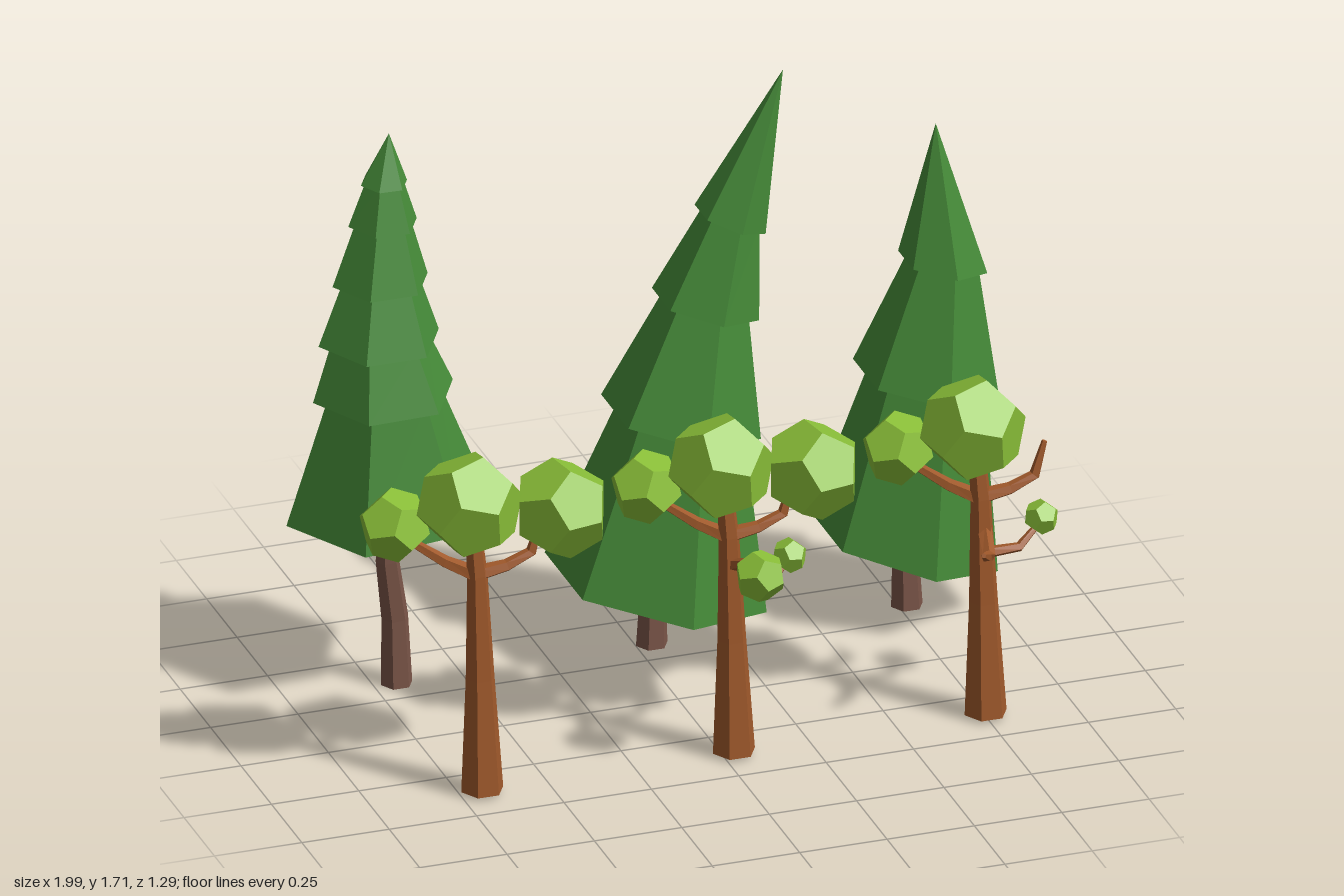
import * as THREE from 'three';

const mat = (name, color) => {
  const m = new THREE.MeshStandardMaterial({ color });
  m.name = name;
  return m;
};
const UP = new THREE.Vector3(0, 1, 0);

// Faceted skin over rings {p: centre, d: facing direction, r: radius}
function loft(rings, sides, phase = 0) {
  const rows = rings.map(({ p, d, r }) => {
    const q = new THREE.Quaternion().setFromUnitVectors(UP, d.clone().normalize());
    return Array.from({ length: sides }, (_, i) => {
      const a = phase + (i / sides) * Math.PI * 2;
      return new THREE.Vector3(Math.cos(a) * r, 0, Math.sin(a) * r).applyQuaternion(q).add(p);
    });
  });
  const pos = [];
  const tri = (...vs) => vs.forEach((v) => pos.push(v.x, v.y, v.z));
  for (let k = 0; k + 1 < rows.length; k++) {
    for (let i = 0; i < sides; i++) {
      const j = (i + 1) % sides;
      const [a, b, c, d] = [rows[k][i], rows[k][j], rows[k + 1][i], rows[k + 1][j]];
      if (rings[k].r > 0) tri(a, c, b);
      if (rings[k + 1].r > 0) tri(b, c, d);
    }
  }
  const g = new THREE.BufferGeometry();
  g.setAttribute('position', new THREE.Float32BufferAttribute(pos, 3));
  g.computeVertexNormals();
  return g;
}

// Tapered, capped limb along points [x, y, z, radius]
function limb(points, sides) {
  const ps = points.map(([x, y, z]) => new THREE.Vector3(x, y, z));
  const rings = points.map((pt, i) => ({
    p: ps[i],
    d: ps[Math.min(i + 1, ps.length - 1)].clone().sub(ps[Math.max(i - 1, 0)]),
    r: pt[3],
  }));
  // flat, level foot for upright trunks
  if (Math.abs(ps[1].y - ps[0].y) > 0.1) rings[0].d = UP;
  const last = rings[rings.length - 1];
  return loft([{ ...rings[0], r: 0 }, ...rings, { ...last, r: 0 }], sides);
}

// Stacked skirts; each tier is [x, y, z, radius, tiltX, tiltZ]
function skirts(tiers, apex, phase) {
  const top = new THREE.Vector3(...apex);
  const rings = [];
  tiers.forEach(([x, y, z, r, tx, tz], i) => {
    const p = new THREE.Vector3(x, y, z);
    const d = new THREE.Vector3(tx, 1, tz).normalize();
    if (i === 0) rings.push({ p, d, r: 0 });
    else rings.push({ p: p.clone().addScaledVector(d, 0.015), d, r: r * 0.77 });
    rings.push({ p, d, r });
  });
  rings.push({ p: top, d: UP, r: 0 });
  return loft(rings, 6, phase);
}

export function createModel() {
  const needle = mat('pine green', 0x458a38);
  const pineBark = mat('dark bark', 0x7a5548);
  const leaf = mat('leaf green', 0x8abf38);
  const bark = mat('warm bark', 0xa0592b);

  const model = new THREE.Group();
  model.name = 'grove';
  const add = (parent, name, geo, m) => {
    const mesh = new THREE.Mesh(geo, m);
    mesh.name = name;
    parent.add(mesh);
    return mesh;
  };

  // Conifers in the back row
  const pines = [
    {
      name: 'tallStraightPine', phase: 0, apex: [-0.72, 1.675, -0.307],
      trunk: [[-0.685, 0, -0.345, 0.045], [-0.69, 0.2, -0.345, 0.038], [-0.715, 0.38, -0.335, 0.033], [-0.715, 0.65, -0.335, 0.028]],
      tiers: [
        [-0.717, 0.543, -0.347, 0.283, -0.08, 0.067],
        [-0.735, 0.9, -0.313, 0.2, -0.02, 0.05],
        [-0.749, 1.065, -0.308, 0.172, 0, 0.04],
        [-0.745, 1.238, -0.308, 0.136, 0, 0.03],
        [-0.738, 1.41, -0.308, 0.098, 0.02, 0.03],
        [-0.735, 1.53, -0.305, 0.066, 0.02, 0.02],
      ],
    },
    {
      name: 'leaningPine', phase: Math.PI / 6, apex: [0.39, 1.712, -0.257],
      trunk: [[0.045, 0, -0.345, 0.045], [0.05, 0.2, -0.345, 0.036], [0.09, 0.5, -0.33, 0.03]],
      tiers: [
        [0.053, 0.188, -0.335, 0.312, 0.23, 0],
        [0.115, 0.69, -0.305, 0.225, 0.24, 0],
        [0.18, 1.025, -0.29, 0.152, 0.27, 0],
        [0.245, 1.277, -0.275, 0.104, 0.4, 0],
      ],
    },
    {
      name: 'shortPine', phase: Math.PI / 6, apex: [0.835, 1.468, -0.28],
      trunk: [[0.775, 0, -0.345, 0.045], [0.77, 0.2, -0.345, 0.036], [0.79, 0.5, -0.33, 0.03]],
      tiers: [
        [0.765, 0.195, -0.34, 0.267, 0.29, 0],
        [0.817, 0.692, -0.308, 0.205, 0.22, 0],
        [0.855, 1.048, -0.28, 0.125, 0.21, 0],
      ],
    },
  ];
  for (const { name, phase, apex, trunk, tiers } of pines) {
    const g = new THREE.Group();
    g.name = name;
    add(g, 'pineTrunk', limb(trunk, 6), pineBark);
    add(g, 'pineSkirts', skirts(tiers, apex, phase), needle);
    model.add(g);
  }

  // Broadleaf trees in the front row
  const trunk = [[0.032, 0.01, 0.368, 0.06], [0.025, 0.35, 0.37, 0.041], [0.017, 0.66, 0.37, 0.029], [0.005, 0.82, 0.365, 0.022]];
  const branches = {
    leftBranch: [[0.02, 0.655, 0.37, 0.024], [-0.06, 0.69, 0.33, 0.018], [-0.15, 0.745, 0.27, 0.012]],
    rightBranch: [[0.01, 0.66, 0.37, 0.024], [0.1, 0.675, 0.375, 0.018], [0.17, 0.705, 0.375, 0.016], [0.2, 0.8, 0.37, 0.008]],
    lowBranch: [[0.02, 0.49, 0.37, 0.018], [0.13, 0.49, 0.365, 0.014], [0.2, 0.545, 0.34, 0.008]],
    frontBranch: [[0.025, 0.57, 0.37, 0.02], [0.03, 0.615, 0.46, 0.016], [0.035, 0.61, 0.57, 0.01]],
    bareFrontBranch: [[0.025, 0.57, 0.37, 0.022], [0.01, 0.525, 0.46, 0.018], [-0.015, 0.55, 0.51, 0.015], [-0.04, 0.58, 0.56, 0.007]],
  };
  // Leaf clumps as [x, y, z, radius, spin]
  const clumps = {
    crownLeaves: [0, 0.865, 0.355, 0.148, 0.3],
    leftLeaves: [-0.177, 0.783, 0.25, 0.102, 1.1],
    rightLeaves: [0.258, 0.82, 0.37, 0.14, 0.7],
    lowLeaves: [0.203, 0.555, 0.335, 0.049, 0.5],
    frontLeaves: [0.035, 0.63, 0.575, 0.073, 0.9],
  };
  const trees = [
    ['leftBranch rightBranch', 'crownLeaves leftLeaves rightLeaves'],
    ['leftBranch rightBranch lowBranch frontBranch', 'crownLeaves leftLeaves rightLeaves lowLeaves frontLeaves'],
    ['leftBranch rightBranch lowBranch bareFrontBranch', 'crownLeaves leftLeaves lowLeaves'],
  ];
  trees.forEach(([limbs, leaves], i) => {
    const g = new THREE.Group();
    g.name = `broadleafTree${i + 1}`;
    g.position.x = (i - 1) * 0.72;
    add(g, 'trunk', limb(trunk, 6), bark);
    for (const n of limbs.split(' ')) add(g, n, limb(branches[n], 5), bark);
    for (const n of leaves.split(' ')) {
      const [x, y, z, r, spin] = clumps[n];
      const clump = add(g, n, new THREE.DodecahedronGeometry(r), leaf);
      clump.position.set(x, y, z);
      clump.rotation.set(spin * 0.6, spin, spin * 0.4);
    }
    model.add(g);
  });
  return model;
}
